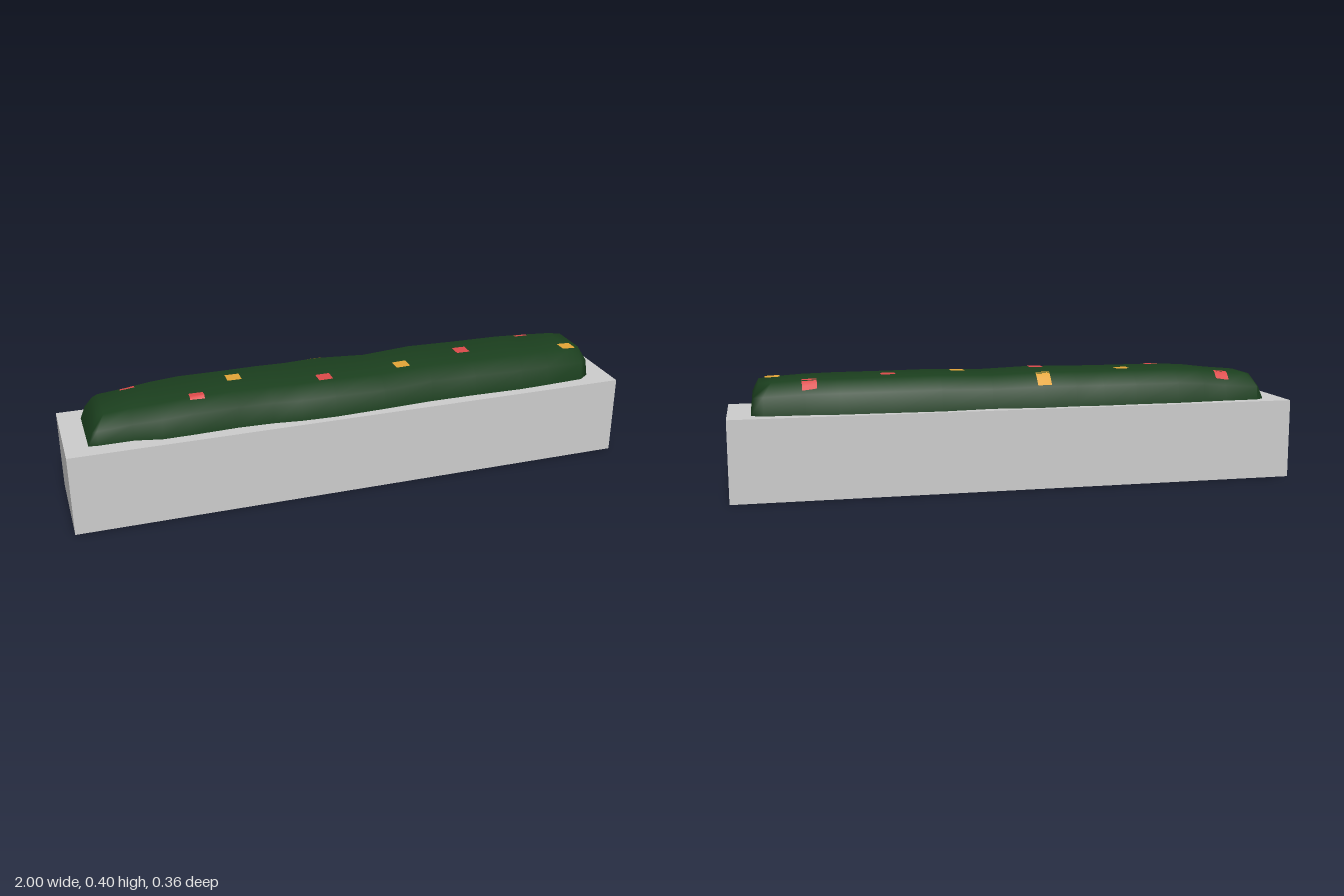
import * as THREE from 'three';

const BOX_H = 0.284;
// Hedge stations: x, back half width, front half width, top height
const stations = [
  [-0.89, 0.135, 0.118, 0.376], [-0.77, 0.138, 0.118, 0.384], [-0.68, 0.144, 0.138, 0.394],
  [-0.58, 0.151, 0.137, 0.4], [-0.42, 0.15, 0.131, 0.4], [-0.3, 0.154, 0.136, 0.4],
  [-0.2, 0.148, 0.148, 0.4], [-0.08, 0.155, 0.153, 0.402], [0.1, 0.138, 0.146, 0.396],
  [0.28, 0.157, 0.137, 0.402], [0.45, 0.151, 0.138, 0.4], [0.63, 0.148, 0.143, 0.399],
  [0.74, 0.135, 0.138, 0.397], [0.88, 0.13, 0.13, 0.391],
];

// Half profile: base, shoulder, top edge as [z, y]
const half = (w, top) => [[w, BOX_H], [w * 0.945, top - 0.045], [w * 0.66, top]];

function ring([x, back, front, top], shift = [0, 0, 0]) {
  const f = half(front, top).map(([z, y], i) => [x + shift[i], y, z]);
  const b = half(back, top).map(([z, y], i) => [x + shift[i], y, -z]);
  return [...f, ...b.reverse()];
}

function hedgeGeometry() {
  const rings = [
    ring([-0.9, 0.112, 0.114, 0.374], [-0.022, -0.005, 0.02]),
    ...stations.map((s) => ring(s)),
    ring([0.9, 0.11, 0.1, 0.388], [0.02, 0.013, -0.008]),
  ];
  // Keep the top edges of the inner neighbours clear of the sloping ends
  for (const i of [2, 3]) {
    rings[1][i][0] += 0.03;
    rings[rings.length - 2][i][0] -= 0.03;
  }
  const index = [];
  for (let r = 0; r < rings.length - 1; r++) {
    for (let i = 0; i < 5; i++) {
      const a = r * 6 + i, b = a + 6;
      index.push(a, b, b + 1, a, b + 1, a + 1);
    }
  }
  // End caps
  const e = (rings.length - 1) * 6;
  index.push(0, 1, 4, 0, 4, 5, 1, 2, 3, 1, 3, 4);
  index.push(e, e + 4, e + 1, e, e + 5, e + 4, e + 1, e + 3, e + 2, e + 1, e + 4, e + 3);
  const g = new THREE.BufferGeometry();
  g.setAttribute('position', new THREE.Float32BufferAttribute(rings.flat(2), 3));
  g.setIndex(index);
  g.computeVertexNormals();
  return g;
}

// Height of the hedge surface above a point
function heightAt(x, z) {
  let i = 0;
  while (i < stations.length - 2 && stations[i + 1][0] < x) i++;
  const a = stations[i], b = stations[i + 1];
  const t = THREE.MathUtils.clamp((x - a[0]) / (b[0] - a[0]), 0, 1);
  const s = a.map((v, k) => THREE.MathUtils.lerp(v, b[k], t));
  const [, shoulder, edge] = half(z < 0 ? s[1] : s[2], s[3]);
  const d = Math.max(0, Math.abs(z) - edge[0]);
  return s[3] - (d * 0.045) / (shoulder[0] - edge[0]);
}

// Small square patch draped over the hedge
function flowerGeometry(x, z, depth) {
  const g = new THREE.PlaneGeometry(0.05, depth, 2, 4);
  g.rotateX(-Math.PI / 2).translate(x, 0, z);
  const p = g.attributes.position;
  for (let i = 0; i < p.count; i++) p.setY(i, heightAt(p.getX(i), p.getZ(i)) + 0.002);
  g.computeVertexNormals();
  return g;
}

export function createModel() {
  const model = new THREE.Group();
  const grey = new THREE.MeshStandardMaterial({ color: 0xcccccc });
  const green = new THREE.MeshStandardMaterial({ color: 0x1b3f1e });
  const red = new THREE.MeshStandardMaterial({ color: 0xdc4a4a, side: THREE.DoubleSide });
  const yellow = new THREE.MeshStandardMaterial({ color: 0xe2a436, side: THREE.DoubleSide });
  const add = (name, geometry, material) => {
    const mesh = new THREE.Mesh(geometry, material);
    mesh.name = name;
    model.add(mesh);
    return mesh;
  };

  // Planter box with a dark green underside
  const box = new THREE.BoxGeometry(2, BOX_H, 0.36).translate(0, BOX_H / 2, 0);
  add('planterBox', box, [grey, grey, grey, green, grey, grey]);

  add('hedge', hedgeGeometry(), green);

  // Flowers: x, z, depth
  const reds = [[-0.76, -0.095, 0.04], [-0.55, 0.08, 0.034], [-0.1, 0.072, 0.05], [0.45, -0.01, 0.05], [0.725, -0.095, 0.045]];
  const yellows = [[-0.4, -0.027, 0.05], [-0.085, -0.12, 0.045], [0.195, 0.045, 0.05], [0.845, 0.06, 0.05]];
  reds.forEach((f, i) => add(`redFlower${i + 1}`, flowerGeometry(...f), red));
  yellows.forEach((f, i) => add(`yellowFlower${i + 1}`, flowerGeometry(...f), yellow));
  return model;
}
